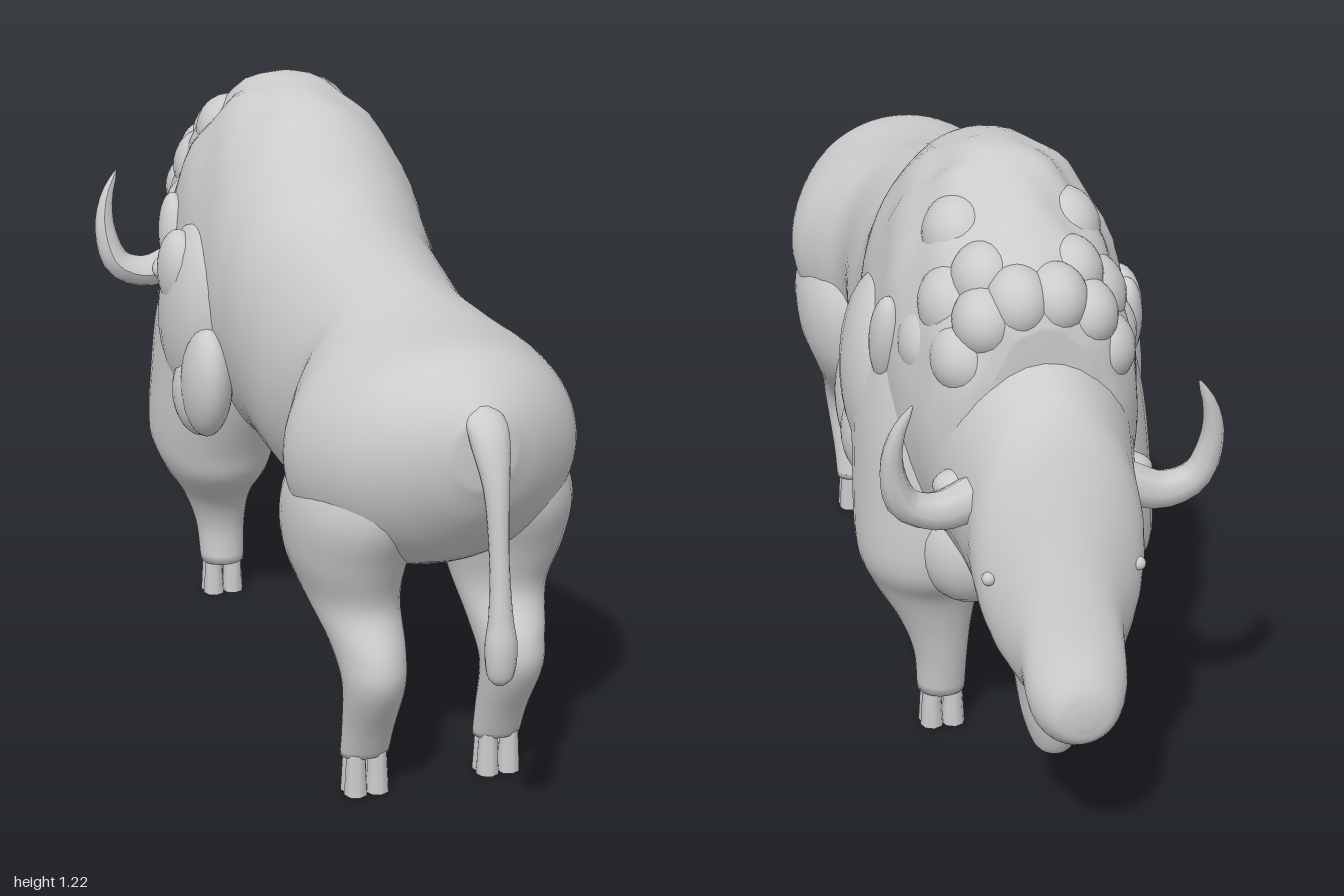
import * as THREE from 'three';

const material = new THREE.MeshStandardMaterial({ color: 0xcccccc });

function add(parent, name, geometry) {
  const mesh = new THREE.Mesh(geometry, material);
  mesh.name = name;
  parent.add(mesh);
  return mesh;
}

// Smooth skin over elliptical sections. Each station is [position along axis, low, high, half width, x centre].
// axis 'z': low/high are heights; axis 'y': low/high are depths. Stations run in rising order.
function loft(axis, stations, { steps = 5, sides = 32, bump = () => 0 } = {}) {
  const main = new THREE.CatmullRomCurve3(stations.map(s => new THREE.Vector3(s[0], s[1], s[2])), false, 'catmullrom');
  const span = new THREE.CatmullRomCurve3(stations.map(s => new THREE.Vector3(s[3], s[4] || 0, 0)), false, 'catmullrom');
  const n = (stations.length - 1) * steps;
  const pos = [], index = [];
  const put = (x, v, p) => (axis === 'z' ? pos.push(x, v, p) : pos.push(x, p, v));
  const dir = axis === 'z' ? 1 : -1;
  for (let i = 0; i <= n; i++) {
    const m = main.getPoint(i / n), s = span.getPoint(i / n);
    for (let j = 0; j < sides; j++) {
      const a = (j / sides) * Math.PI * 2;
      const k = 1 + bump(m.x, a);
      put(s.y + Math.cos(a) * s.x * k, (m.y + m.z) / 2 + dir * Math.sin(a) * ((m.z - m.y) / 2) * k, m.x);
    }
  }
  for (let i = 0; i < n; i++) {
    for (let j = 0; j < sides; j++) {
      const a = i * sides + j, b = i * sides + (j + 1) % sides;
      index.push(a, b, a + sides, b, b + sides, a + sides);
    }
  }
  // Close both ends
  for (const i of [0, n]) {
    const m = main.getPoint(i / n), s = span.getPoint(i / n), c = pos.length / 3;
    put(s.y, (m.y + m.z) / 2, m.x);
    for (let j = 0; j < sides; j++) {
      const a = i * sides + j, b = i * sides + (j + 1) % sides;
      if (i === 0) index.push(c, b, a); else index.push(c, a, b);
    }
  }
  const g = new THREE.BufferGeometry();
  g.setAttribute('position', new THREE.Float32BufferAttribute(pos, 3));
  g.setIndex(index);
  g.computeVertexNormals();
  return g;
}

// Rounded lump of hair or flesh
function blob(parent, name, [x, y, z], [rx, ry, rz], tilt = 0) {
  const mesh = add(parent, name, new THREE.SphereGeometry(1, 24, 16));
  mesh.position.set(x, y, z);
  mesh.scale.set(rx, ry, rz);
  mesh.rotation.x = tilt;
}

// Curved, pointed tube for a horn
function hornGeometry(side) {
  const path = new THREE.CatmullRomCurve3([
    [0.13, 0.69, -0.71], [0.21, 0.665, -0.715], [0.275, 0.69, -0.72],
    [0.3, 0.77, -0.733], [0.292, 0.84, -0.745], [0.265, 0.9, -0.755],
  ].map(([x, y, z]) => new THREE.Vector3(x * side, y, z)));
  const rings = 16, sides = 8;
  const g = new THREE.TubeGeometry(path, rings, 1, sides);
  const p = g.attributes.position, v = new THREE.Vector3();
  for (let i = 0; i <= rings; i++) {
    const c = path.getPointAt(i / rings), r = 0.043 * (1 - i / rings) ** 0.7 + 0.002;
    for (let j = 0; j <= sides; j++) {
      const k = i * (sides + 1) + j;
      v.fromBufferAttribute(p, k).sub(c).multiplyScalar(r).add(c);
      p.setXYZ(k, v.x, v.y, v.z);
    }
  }
  g.computeVertexNormals();
  return g;
}

// Four narrow toes pressed together, flaring to the ground
function addHoof(parent, x, z) {
  const hoof = new THREE.Group();
  hoof.name = 'hoof';
  for (const dx of [-1, 1]) for (const dz of [-1, 1]) {
    const toe = add(hoof, 'toe', new THREE.CylinderGeometry(0.019, 0.024, 0.09, 8));
    toe.position.set(x + dx * 0.022, 0.045, z + dz * 0.011);
  }
  parent.add(hoof);
}

export function createModel() {
  const model = new THREE.Group();
  model.name = 'bison';

  // Torso with shoulder hump; shaggy waves only over the front half
  const shag = (z, a) => {
    const f = THREE.MathUtils.smoothstep(-z, 0, 0.25) * Math.max(0, Math.sin(a) + 0.1) * (1 - Math.sin(a) ** 16);
    return 0.035 * f * Math.sin(a * 9 + z * 7) * Math.sin(z * 32);
  };
  add(model, 'torso', loft('z', [
    [-0.66, 0.66, 0.98, 0.1], [-0.64, 0.52, 1.025, 0.155], [-0.58, 0.43, 1.075, 0.2],
    [-0.5, 0.39, 1.125, 0.222], [-0.4, 0.36, 1.18, 0.242], [-0.28, 0.39, 1.215, 0.25],
    [-0.1, 0.42, 1.188, 0.244], [0, 0.42, 1.13, 0.232], [0.1, 0.42, 1.05, 0.226],
    [0.2, 0.425, 1.015, 0.222], [0.4, 0.46, 0.975, 0.203], [0.5, 0.445, 0.95, 0.25],
    [0.6, 0.45, 0.936, 0.283], [0.75, 0.52, 0.93, 0.232], [0.84, 0.62, 0.885, 0.14],
    [0.885, 0.71, 0.84, 0.055],
  ], { sides: 64, steps: 6, bump: shag }));

  // Head: broad forehead, pinched bridge and blunt rounded muzzle
  add(model, 'head', loft('z', [
    [-1, 0.345, 0.385, 0.02], [-0.988, 0.308, 0.425, 0.06], [-0.94, 0.283, 0.5, 0.092],
    [-0.88, 0.3, 0.63, 0.102], [-0.82, 0.33, 0.76, 0.148], [-0.78, 0.36, 0.83, 0.163],
    [-0.73, 0.38, 0.88, 0.165], [-0.65, 0.41, 0.92, 0.18], [-0.55, 0.42, 0.95, 0.2], [-0.42, 0.42, 0.98, 0.21],
  ], { steps: 6 }));

  // Beard under the jaw
  add(model, 'beard', loft('y', [
    [0.158, -0.775, -0.75, 0.012], [0.175, -0.805, -0.715, 0.038], [0.24, -0.83, -0.675, 0.06],
    [0.33, -0.85, -0.63, 0.075], [0.42, -0.87, -0.585, 0.11], [0.52, -0.85, -0.56, 0.13],
  ]));

  // Tail with a tuft at its end
  add(model, 'tail', loft('y', [
    [0.365, 0.965, 0.98, 0.01], [0.385, 0.95, 0.995, 0.025], [0.44, 0.945, 1, 0.03],
    [0.5, 0.945, 0.99, 0.022], [0.6, 0.935, 0.975, 0.018], [0.72, 0.91, 0.96, 0.023],
    [0.8, 0.865, 0.935, 0.036], [0.84, 0.84, 0.905, 0.036], [0.86, 0.845, 0.87, 0.012],
  ], { sides: 16 }));

  for (const side of [1, -1]) {
    const mirror = rows => rows.map(([p, lo, hi, w, x]) => [p, lo, hi, w, x * side]);

    // Hind leg with thigh and backward hock
    add(model, 'hindLeg', loft('y', mirror([
      [0.08, 0.595, 0.66, 0.049, 0.137], [0.15, 0.605, 0.695, 0.052, 0.137], [0.26, 0.615, 0.76, 0.06, 0.14],
      [0.33, 0.54, 0.757, 0.07, 0.142], [0.41, 0.43, 0.715, 0.09, 0.15], [0.5, 0.395, 0.74, 0.115, 0.157],
      [0.6, 0.395, 0.78, 0.126, 0.15], [0.69, 0.45, 0.77, 0.1, 0.14], [0.78, 0.53, 0.72, 0.05, 0.12],
    ])));
    addHoof(model, 0.137 * side, 0.63);

    // Foreleg swelling into the shoulder
    add(model, 'foreleg', loft('y', mirror([
      [0.08, -0.41, -0.315, 0.049, 0.137], [0.17, -0.425, -0.315, 0.055, 0.139], [0.25, -0.44, -0.28, 0.075, 0.148],
      [0.33, -0.465, -0.19, 0.112, 0.16], [0.41, -0.515, -0.155, 0.138, 0.162], [0.55, -0.52, -0.09, 0.145, 0.153],
      [0.7, -0.5, -0.05, 0.142, 0.145], [0.83, -0.46, -0.08, 0.118, 0.135], [0.96, -0.4, -0.15, 0.06, 0.12],
    ])));
    addHoof(model, 0.137 * side, -0.367);

    // Hair tufts behind the elbow and over the shoulder
    blob(model, 'elbowTuft', [0.245 * side, 0.61, -0.08], [0.052, 0.125, 0.085], 0.25);
    blob(model, 'elbowTuft', [0.24 * side, 0.565, -0.15], [0.058, 0.095, 0.085]);
    blob(model, 'shoulderTuft', [0.235 * side, 0.85, -0.345], [0.036, 0.1, 0.05], -0.25);
    blob(model, 'shoulderMane', [0.2 * side, 0.72, -0.21], [0.106, 0.22, 0.16], 0.2);

    // Chest hair beside the throat
    blob(model, 'chestTuft', [0.1 * side, 0.47, -0.46], [0.11, 0.13, 0.12], 0.4);

    // Mane locks, proud of the hump only along its front rim
    for (const [x, y, z, r] of [
      [0.035, 1.01, -0.585, 0.07], [0.095, 0.975, -0.58, 0.068], [0.13, 0.9, -0.565, 0.072],
      [0.08, 1.03, -0.51, 0.072], [0.125, 0.97, -0.475, 0.083], [0.16, 0.88, -0.44, 0.08], [0.1, 1.07, -0.38, 0.08],
    ]) blob(model, 'maneLock', [x * side, y, z], [r * 0.9, r, r * 1.1]);

    // Face details
    add(model, 'horn', hornGeometry(side));
    blob(model, 'ear', [0.16 * side, 0.685, -0.655], [0.05, 0.032, 0.042], 0.3);
    blob(model, 'eye', [0.141 * side, 0.575, -0.825], [0.013, 0.013, 0.013]);
  }

  // Extra lock on the right shoulder
  blob(model, 'shoulderTuft', [-0.265, 0.82, -0.21], [0.045, 0.09, 0.07], 0.1);
  return model;
}
